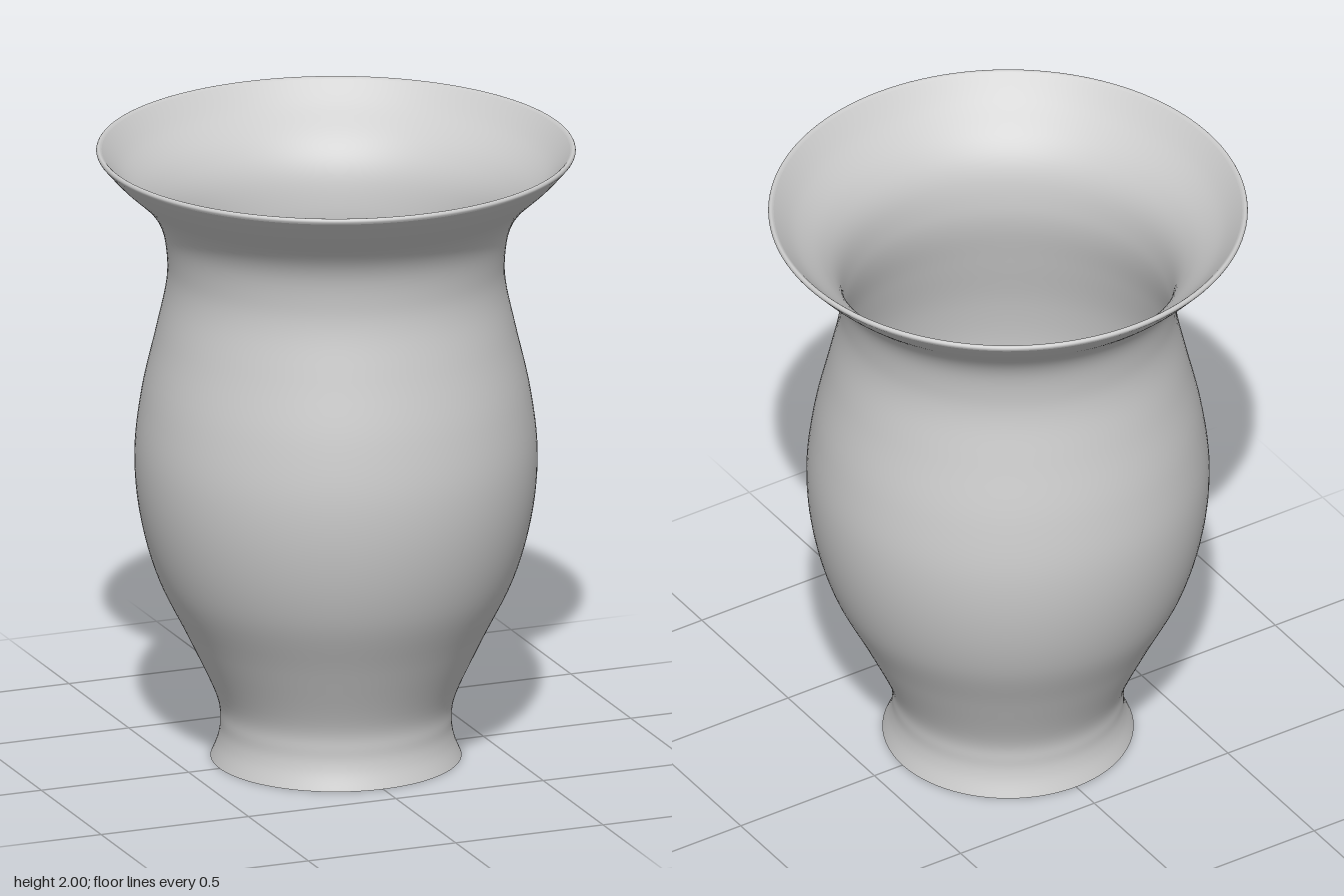
import * as THREE from 'three';

const WALL = 0.018;
const v = (x, y) => new THREE.Vector2(x, y);

export function createModel() {
  const group = new THREE.Group();
  const material = new THREE.MeshStandardMaterial({ color: 0xcccccc, side: THREE.DoubleSide });

  const add = (name, points) => {
    const mesh = new THREE.Mesh(new THREE.LatheGeometry(points, 128), material);
    mesh.name = name;
    group.add(mesh);
  };

  // Outer silhouette from foot to flared lip
  const curve = new THREE.SplineCurve([
    v(0.395, 0), v(0.372, 0.06), v(0.365, 0.12), v(0.378, 0.21), v(0.465, 0.4),
    v(0.562, 0.6), v(0.617, 0.8), v(0.634, 1), v(0.612, 1.2), v(0.567, 1.4),
    v(0.535, 1.55), v(0.532, 1.65), v(0.551, 1.75), v(0.6, 1.83), v(0.69, 1.915), v(0.75, 1.982),
  ]);
  const outer = curve.getPoints(90);

  // Inner wall is the silhouette offset by the wall thickness
  const inner = outer.map((p, i) => {
    const t = curve.getTangent(i / 90);
    return v(p.x - t.y * WALL, p.y + t.x * WALL);
  }).filter((p) => p.y > WALL);
  inner.unshift(v(inner[0].x, WALL));

  // Rounded lip joins both walls
  const lip = new THREE.SplineCurve([
    outer[90], v(0.754, 1.991), v(0.75, 1.999), v(0.743, 1.999), inner[inner.length - 1],
  ]).getPoints(12);

  add('outerWall', outer);
  add('rim', lip);
  add('innerWall', inner.slice().reverse());
  add('innerFloor', [v(inner[0].x, WALL), v(0, WALL)]);
  add('base', [v(0, 0), v(0.395, 0)]);
  return group;
}
